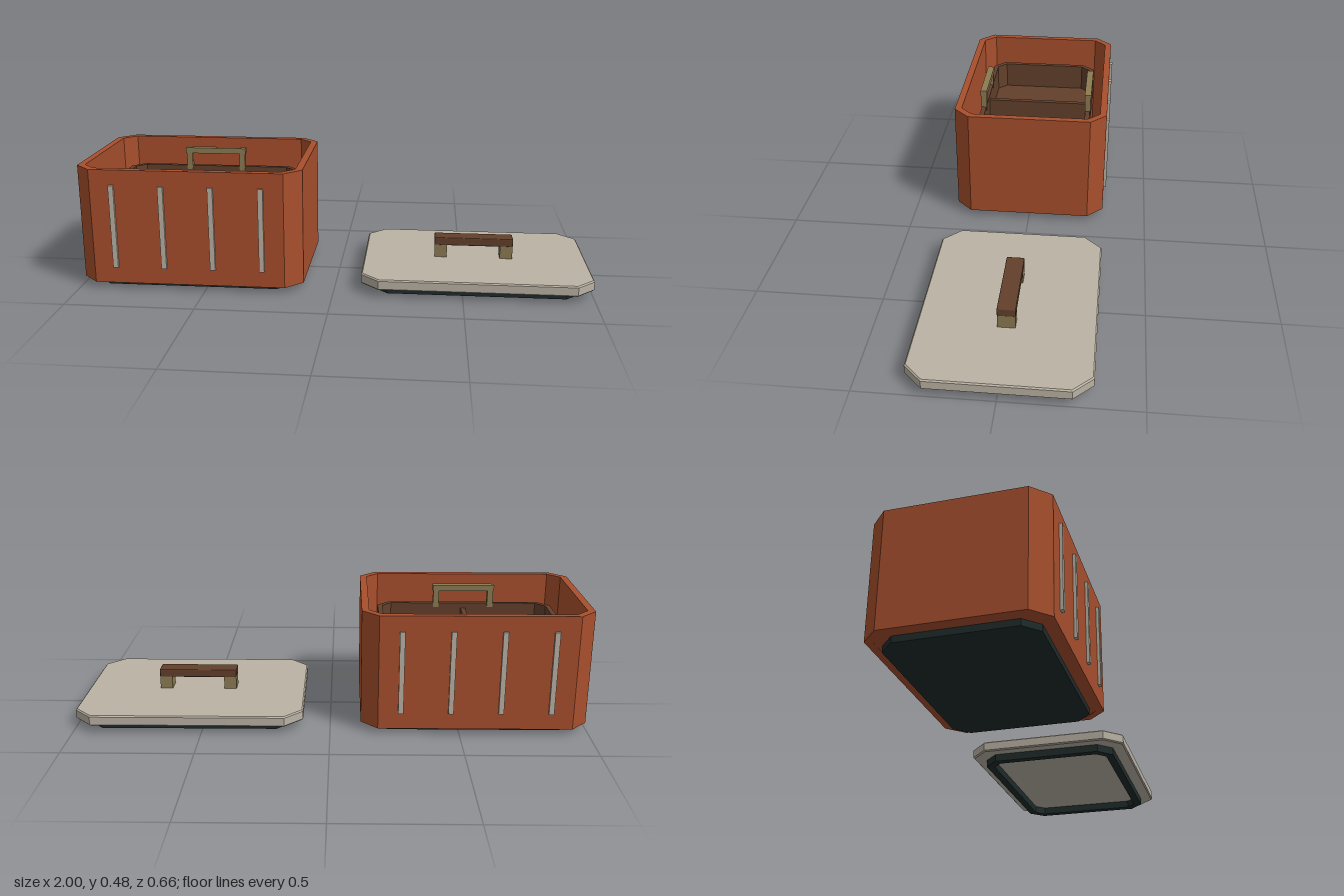
import * as THREE from 'three';
import { RoundedBoxGeometry } from 'three/addons/geometries/RoundedBoxGeometry.js';

const mat = (name, color) => {
  const m = new THREE.MeshStandardMaterial({ color });
  m.name = name;
  return m;
};

// Points of a rectangle with cut corners
function cutRect(w, d, c) {
  const x = w / 2, y = d / 2;
  return [[-x + c, -y], [x - c, -y], [x, -y + c], [x, y - c],
    [x - c, y], [-x + c, y], [-x, y - c], [-x, -y + c]].map(([a, b]) => new THREE.Vector2(a, b));
}

// Upright slab with cut corners from y0 to y1; wall > 0 makes it a hollow ring
function slab(w, d, c, y0, y1, wall = 0, bevel = 0) {
  const shape = new THREE.Shape(cutRect(w - 2 * bevel, d - 2 * bevel, c - bevel * 0.6));
  if (wall) shape.holes.push(new THREE.Path(cutRect(w - 2 * wall, d - 2 * wall, c - wall * 0.6)));
  const g = new THREE.ExtrudeGeometry(shape, {
    depth: y1 - y0 - 2 * bevel, bevelEnabled: bevel > 0,
    bevelSize: bevel, bevelThickness: bevel, bevelSegments: 1,
  });
  return g.rotateX(-Math.PI / 2).translate(0, y0 + bevel, 0);
}

export function createModel() {
  const clay = mat('terracotta', 0xa84f2d);
  const stone = mat('warm grey', 0xbab2a4);
  const dark = mat('dark rubber', 0x1f2b2b);
  const brown = mat('dark brown', 0x63402c);
  const brass = mat('brass', 0x8d7b53);

  const add = (parent, name, geometry, material, x = 0, y = 0, z = 0) => {
    const m = new THREE.Mesh(geometry, material);
    m.name = name;
    m.position.set(x, y, z);
    parent.add(m);
    return m;
  };
  const group = (parent, name, x = 0) => {
    const g = new THREE.Group();
    g.name = name;
    g.position.x = x;
    parent.add(g);
    return g;
  };
  const box = (w, h, d) => new THREE.BoxGeometry(w, h, d);

  const model = new THREE.Group();
  model.name = 'lunchBox';

  // Container: foot, floor and walls
  const body = group(model, 'container', -0.56);
  add(body, 'foot', slab(0.78, 0.54, 0.055, 0, 0.025), dark);
  add(body, 'floor', slab(0.84, 0.594, 0.05, 0.025, 0.055), clay);
  add(body, 'walls', slab(0.88, 0.634, 0.065, 0.024, 0.48, 0.028), clay);

  // Upright ribs on the front and back
  for (const side of [1, -1]) {
    for (let i = 0; i < 4; i++) {
      add(body, 'rib', box(0.02, 0.33, 0.012), stone, -0.288 + i * 0.192, 0.255, side * 0.322);
    }
  }

  // Ledges that carry the tray
  for (const side of [1, -1]) {
    add(body, 'ledge', box(0.07, 0.025, 0.46), brass, side * 0.377, 0.222, 0);
  }

  // Lift-out tray with a divider
  const tray = group(body, 'tray');
  add(tray, 'trayFloor', slab(0.7, 0.45, 0.04, 0.236, 0.256), brown);
  add(tray, 'trayWalls', slab(0.73, 0.48, 0.05, 0.235, 0.37, 0.02), brown);
  add(tray, 'divider', box(0.02, 0.095, 0.44), brown, 0, 0.3, 0);

  // Tray grips: two posts and a bar on each long side
  for (const side of [1, -1]) {
    const z = side * 0.23;
    add(tray, 'gripBar', box(0.26, 0.024, 0.028), brass, 0, 0.437, z);
    for (const s of [1, -1]) {
      add(tray, 'gripPost', box(0.024, 0.075, 0.024), brass, s * 0.115, 0.39, z);
    }
  }

  // Lid lying beside the container, with a seal underneath
  const lid = group(model, 'lid', 0.553);
  add(lid, 'lidPlate', slab(0.894, 0.648, 0.07, 0.03, 0.072, 0, 0.005), stone);
  add(lid, 'seal', slab(0.796, 0.548, 0.055, 0, 0.031, 0.032), dark);

  // Lid handle
  add(lid, 'handleBar', new RoundedBoxGeometry(0.316, 0.033, 0.068, 1, 0.004), brown, -0.005, 0.1385, 0);
  for (const s of [1, -1]) {
    add(lid, 'handlePost', box(0.05, 0.054, 0.066), brass, -0.005 + s * 0.132, 0.097, 0);
  }

  return model;
}
